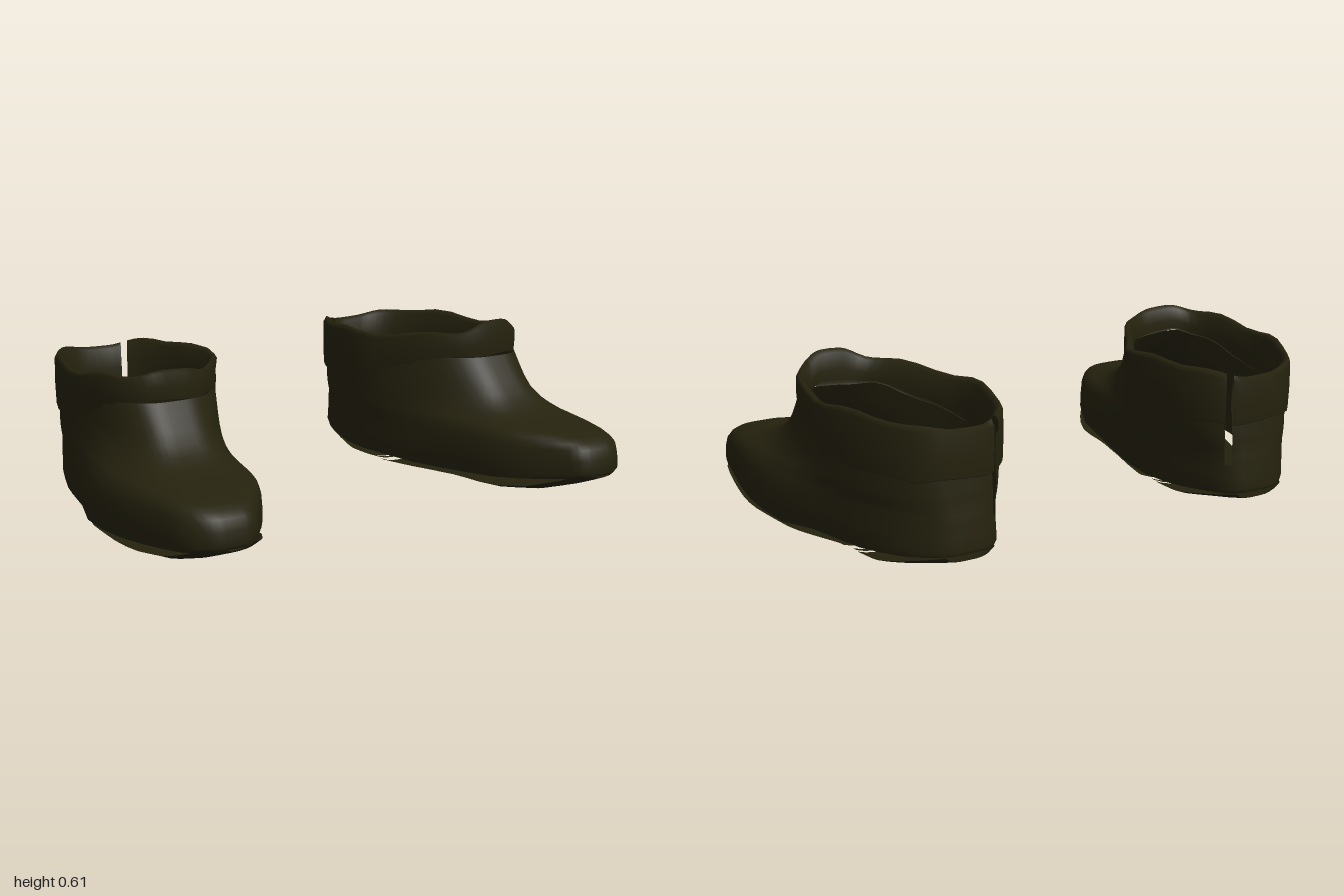
import * as THREE from 'three';

const olive = new THREE.MeshStandardMaterial({ color: 0x25220e, side: THREE.DoubleSide });
olive.name = 'dark olive leather';

// piecewise-linear lookup in a list of [key, value] pairs
function lookup(table, k) {
  if (k <= table[0][0]) return table[0][1];
  for (let i = 1; i < table.length; i++) {
    const [k0, v0] = table[i - 1], [k1, v1] = table[i];
    if (k <= k1) return v0 + (v1 - v0) * (k - k0) / (k1 - k0);
  }
  return table[table.length - 1][1];
}

// plan shape along z: centre line and half width, at the foot and at the ankle
const footCentre = [[-0.7, 0.59], [-0.55, 0.62], [-0.2, 0.645], [0, 0.71], [0.2, 0.745], [0.4, 0.755], [0.5, 0.775], [0.6, 0.805], [0.7, 0.795]];
const footWidth = [[-0.7, 0.225], [-0.55, 0.25], [-0.3, 0.278], [0, 0.278], [0.2, 0.268], [0.4, 0.262], [0.6, 0.225], [0.7, 0.2]];
const ankleCentre = [[-0.68, 0.6], [-0.25, 0.63], [0.15, 0.71], [0.5, 0.76]];
const ankleWidth = [[-0.68, 0.24], [-0.25, 0.282], [0, 0.25], [0.2, 0.21], [0.5, 0.22]];

// one point on the outline of a horizontal slice
function outline(a, y, front, back, grow = 0) {
  const half = (front - back) / 2 + grow;
  const z = (front + back) / 2 + half * Math.cos(a);
  const k = THREE.MathUtils.smoothstep(y, 0.15, 0.38);
  const mix = (p, q) => THREE.MathUtils.lerp(lookup(p, z), lookup(q, z), k);
  const s = Math.sin(a);
  const x = mix(footCentre, ankleCentre)
    + Math.sign(s) * Math.pow(Math.abs(s), 0.6) * (mix(footWidth, ankleWidth) + grow);
  return [x, y, z];
}

// smooth skin over rows of points; a closed skin can leave one column open from a given row
function skin(name, rows, closed, slitFrom = Infinity) {
  const n = rows[0].length, index = [];
  for (let i = 0; i < rows.length - 1; i++) {
    for (let j = 0; j < (closed ? n : n - 1); j++) {
      if (j === SLIT && i >= slitFrom) continue;
      const a = i * n + j, b = i * n + (j + 1) % n;
      index.push(a, b, b + n, a, b + n, a + n);
    }
  }
  const geo = new THREE.BufferGeometry();
  geo.setAttribute('position', new THREE.Float32BufferAttribute(rows.flat(2), 3));
  geo.setIndex(index);
  geo.computeVertexNormals();
  const mesh = new THREE.Mesh(geo, olive);
  mesh.name = name;
  return mesh;
}

const SIDES = 48;
const SLIT = 28; // column of the open seam at the inner heel
// angles bunched toward toe and heel, where the outline turns fastest
const angles = Array.from({ length: SIDES }, (_, j) => {
  const t = j / SIDES * Math.PI * 2;
  return t - 0.3 * Math.sin(2 * t);
});
const bump = (v, width) => Math.exp(-((v / width) ** 2));

// upper: slices of [height, front z, back z]
function upper() {
  const slices = [
    [0.05, 0.672, -0.685], [0.1, 0.685, -0.685], [0.15, 0.68, -0.68], [0.19, 0.667, -0.677],
    [0.21, 0.64, -0.675], [0.225, 0.61, -0.673], [0.238, 0.56, -0.671], [0.25, 0.49, -0.67],
    [0.262, 0.42, -0.668], [0.28, 0.36, -0.667], [0.305, 0.305, -0.665], [0.34, 0.26, -0.66],
    [0.38, 0.225, -0.657], [0.43, 0.187, -0.655], [0.47, 0.16, -0.655],
  ];
  const rows = slices.map(([y, f, b], i) => angles.map(a => {
    const p = outline(a, y, f, b, i === 0 ? -0.008 : 0);
    if (i === 0) p[1] += 0.036 * (p[2] / 0.68) ** 2 + 0.015 * bump(p[2] + 0.2, 0.08);
    return p;
  }));
  return skin('upper', rows, true, 3);
}

// folded collar with an uneven rim, turned down inside; flare pushes the inner rim outward
function collar(peak, flare) {
  const hem = [[-0.66, 0.345], [-0.4, 0.355], [-0.25, 0.375], [-0.05, 0.42], [0.08, 0.46], [0.17, 0.475]];
  const rim = [[-0.66, 0.525], [-0.55, 0.548], [-0.4, 0.552], [-0.2, 0.543], [0, 0.558], [0.16, 0.57]];
  // [blend from hem to rim, outward growth]
  const steps = [[0, 0], [0.03, 0.006], [0.45, 0.009], [0.9, 0.008], [1, -0.002], [0.92, -0.022], [0.5, -0.032], [0.2, -0.03]];
  const rows = steps.map(([t, grow]) => angles.map(a => {
    const p = outline(a, 0.5, 0.146, -0.66, grow);
    const z = p[2];
    const low = lookup(hem, z) + 0.006 * Math.sin(a * 9);
    const fromFront = a > Math.PI ? a - 2 * Math.PI : a;
    const high = lookup(rim, z) + 0.007 * Math.sin(a * 7 + 1) + peak * bump(fromFront, 0.3);
    p[0] -= flare * t * bump(a - 4.85, 0.16);
    p[1] = low + (high - low) * t;
    return p;
  }));
  return skin('collar', rows, true, 0);
}

// sole plate: shallow curved panel between two z values, with slanted cuts
function solePlate(name, back, front, slantBack, slantFront, fit) {
  const height = [[-0.67, 0.06], [-0.42, 0.002], [-0.05, 0.002], [0.15, 0.008], [0.35, 0.004], [0.5, 0.02], [0.6, 0.05], [0.685, 0.085]];
  const rows = [];
  for (let i = 0; i <= 20; i++) {
    const t = i / 20, row = [];
    const z = back + (front - back) * (0.5 - 0.5 * Math.cos(t * Math.PI));
    const cap = Math.pow(Math.max(0, 1 - (z / 0.685) ** 2), 0.3);
    const w = lookup(footWidth, z) * cap * lookup(fit, z);
    for (let j = 0; j <= 12; j++) {
      const u = j / 6 - 1;
      const dz = -0.15 * u * w * (slantBack * (1 - t) + slantFront * t);
      row.push([lookup(footCentre, z) + u * w, lookup(height, z) + 0.024 * u ** 4, z + dz]);
    }
    rows.push(row);
  }
  return skin(name, rows, false);
}

function boot(name, peak, flare) {
  const g = new THREE.Group();
  g.name = name;
  g.add(
    upper(),
    collar(peak, flare),
    solePlate('foreSole', -0.225, 0.682, 1, 0, [[-0.25, 0.81], [0, 0.88], [0.3, 0.95], [0.6, 0.98]]),
    solePlate('heelSole', -0.668, -0.305, 0, 1, [[-0.66, 0.95], [-0.3, 0.81]]),
    solePlate('shankStrip', -0.292, -0.27, 1, 1, [[-0.3, 0.79]]),
  );
  return g;
}

export function createModel() {
  const model = new THREE.Group();
  model.name = 'ankleBoots';
  const left = boot('leftBoot', 0.035, 0);
  const right = boot('rightBoot', 0.005, 0.03);
  right.scale.x = -1;
  model.add(left, right);
  return model;
}
